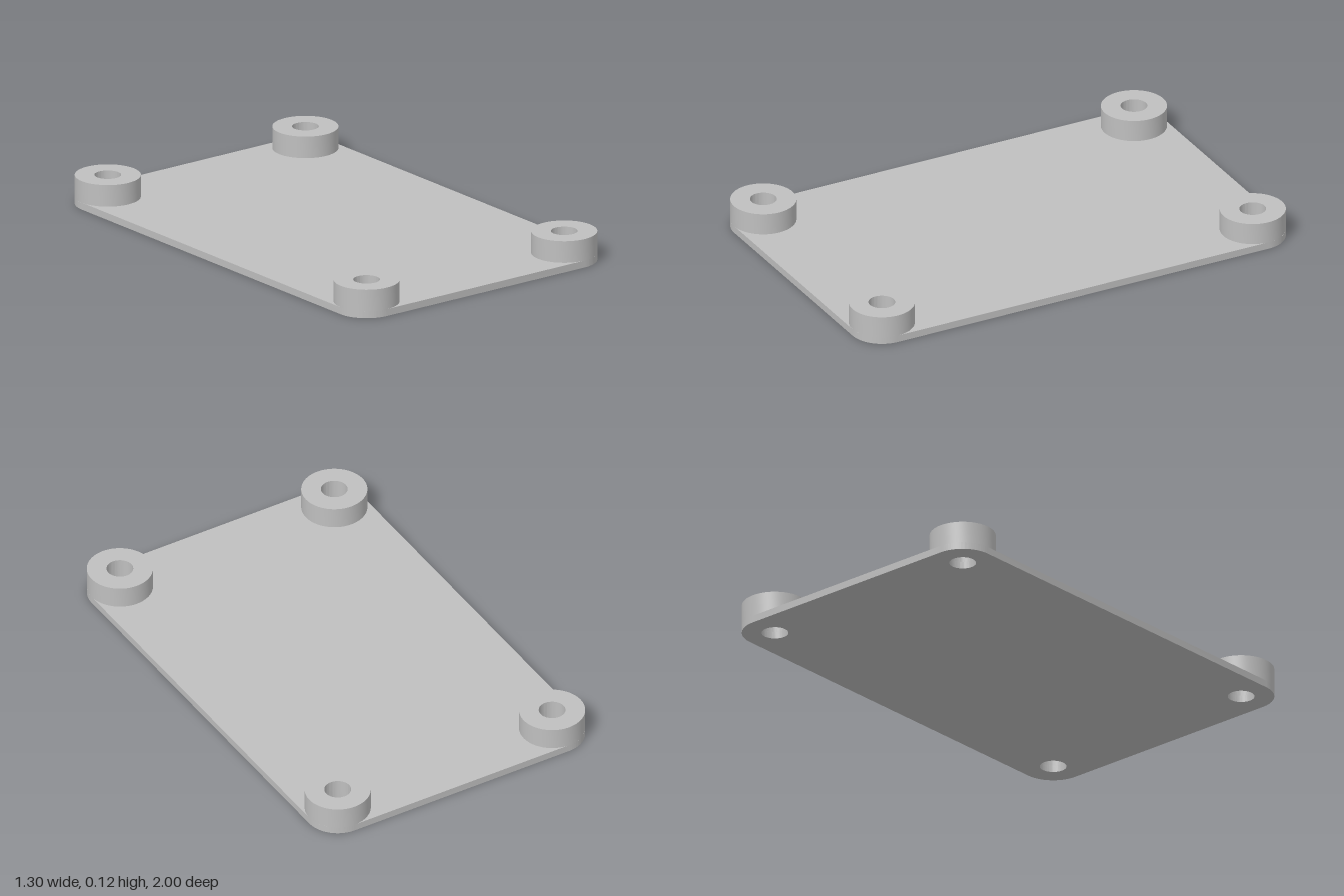
import * as THREE from 'three';
import { toCreasedNormals } from 'three/addons/utils/BufferGeometryUtils.js';

const HALF_X = 0.65, HALF_Z = 1;       // plate half sizes
const BOSS_R = 0.136, HOLE_R = 0.055;  // corner bosses and their bores
const PLATE_H = 0.03, TOTAL_H = 0.123;
const CX = HALF_X - BOSS_R, CZ = HALF_Z - BOSS_R;
const CORNERS = [
  { name: 'frontLeft', x: CX, z: CZ },
  { name: 'frontRight', x: -CX, z: CZ },
  { name: 'backLeft', x: CX, z: -CZ },
  { name: 'backRight', x: -CX, z: -CZ },
];

// Rounded plate with a through hole at each corner
function plateGeometry() {
  const shape = new THREE.Shape();
  shape.absarc(CX, CZ, BOSS_R, 0, Math.PI / 2);
  shape.absarc(-CX, CZ, BOSS_R, Math.PI / 2, Math.PI);
  shape.absarc(-CX, -CZ, BOSS_R, Math.PI, Math.PI * 1.5);
  shape.absarc(CX, -CZ, BOSS_R, Math.PI * 1.5, Math.PI * 2);
  shape.closePath();
  for (const { x, z } of CORNERS) {
    shape.holes.push(new THREE.Path().absarc(x, -z, HOLE_R, 0, Math.PI * 2, true));
  }
  const geo = new THREE.ExtrudeGeometry(shape, { depth: PLATE_H, bevelEnabled: false, curveSegments: 32 });
  return toCreasedNormals(geo.rotateX(-Math.PI / 2), 0.6);
}

// Ring wall: outer side, top face and bore
function bossGeometry() {
  const profile = [
    [BOSS_R, PLATE_H], [BOSS_R, TOTAL_H], [HOLE_R, TOTAL_H], [HOLE_R, PLATE_H],
  ].map(([r, y]) => new THREE.Vector2(r, y));
  return toCreasedNormals(new THREE.LatheGeometry(profile, 64), 0.6);
}

export function createModel() {
  const model = new THREE.Group();
  model.name = 'mountingPlate';
  const grey = new THREE.MeshStandardMaterial({ color: 0xbfbfbf });
  grey.name = 'light grey';

  const plate = new THREE.Mesh(plateGeometry(), grey);
  plate.name = 'basePlate';
  model.add(plate);

  const bossGeo = bossGeometry();
  for (const { name, x, z } of CORNERS) {
    const boss = new THREE.Mesh(bossGeo, grey);
    boss.name = name + 'Boss';
    boss.position.set(x, 0, z);
    model.add(boss);
  }
  return model;
}
